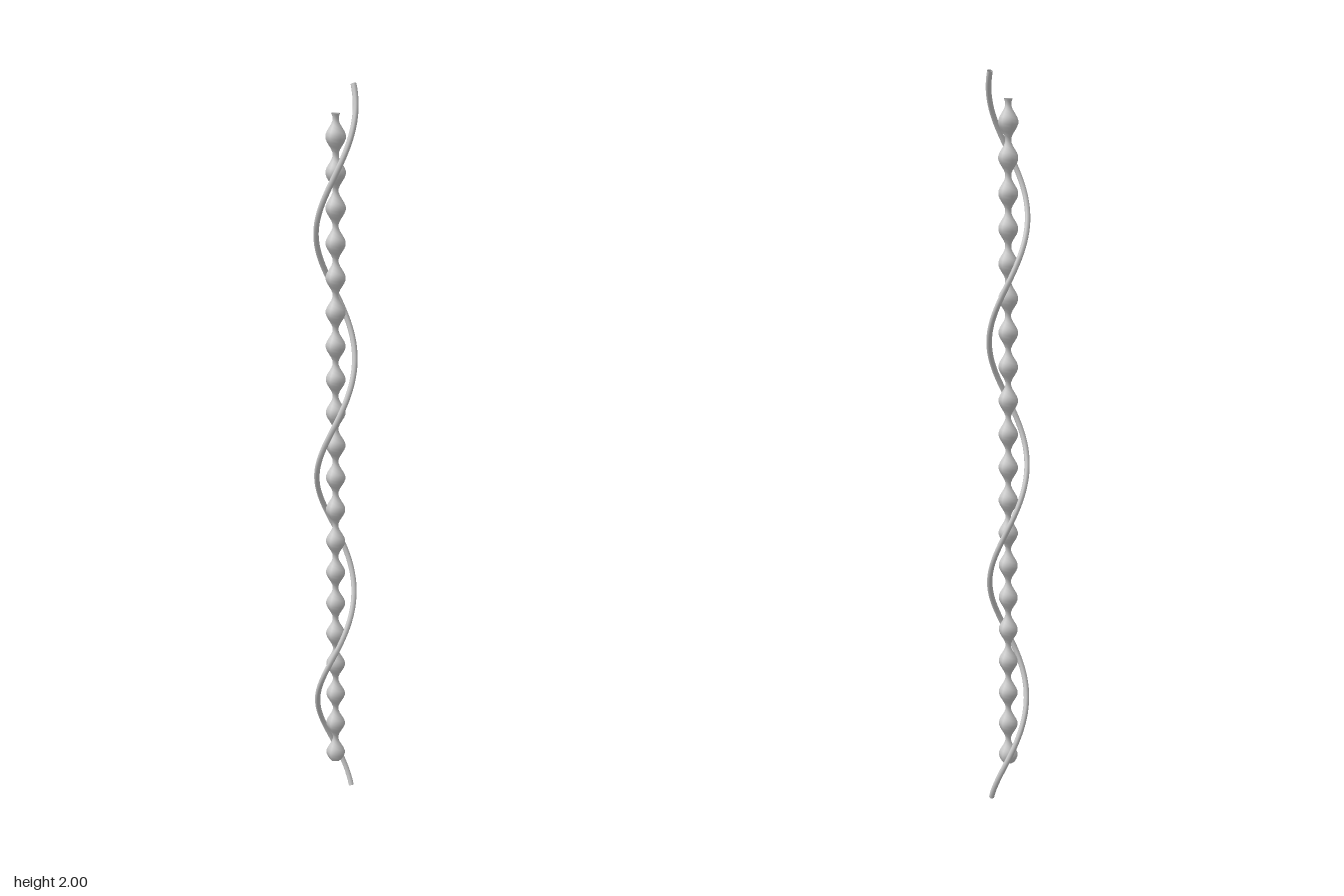
import * as THREE from 'three';

// Helical curve winding around the y axis
class Helix extends THREE.Curve {
  constructor(radius, bottom, top, turns) {
    super();
    Object.assign(this, { radius, bottom, top, turns });
  }
  getPoint(t, target = new THREE.Vector3()) {
    const a = t * this.turns * Math.PI * 2;
    return target.set(
      this.radius * Math.cos(a),
      this.bottom + (this.top - this.bottom) * t,
      -this.radius * Math.sin(a)
    );
  }
}

export function createModel() {
  const group = new THREE.Group();
  const material = new THREE.MeshStandardMaterial({ color: 0xcccccc, side: THREE.DoubleSide });

  // Hollow six-sided stem whose radius swells into twenty beads
  const beads = 20, steps = 10, pitch = 0.0918, base = 0.1;
  const profile = [];
  for (let i = 0; i < beads * steps; i++) {
    const r = 0.017 + 0.0095 * Math.sin((i / steps) * Math.PI * 2);
    profile.push(new THREE.Vector2(r, base + (i / steps) * pitch));
  }
  const stem = new THREE.Mesh(new THREE.LatheGeometry(profile, 6), material);
  stem.name = 'beadedStem';
  group.add(stem);

  // Thin strand making three turns around the stem
  const helix = new Helix(0.0505, 0.003, 1.997, 3);
  const strand = new THREE.Mesh(new THREE.TubeGeometry(helix, 160, 0.0075, 8, false), material);
  strand.name = 'spiralStrand';
  group.add(strand);

  return group;
}
